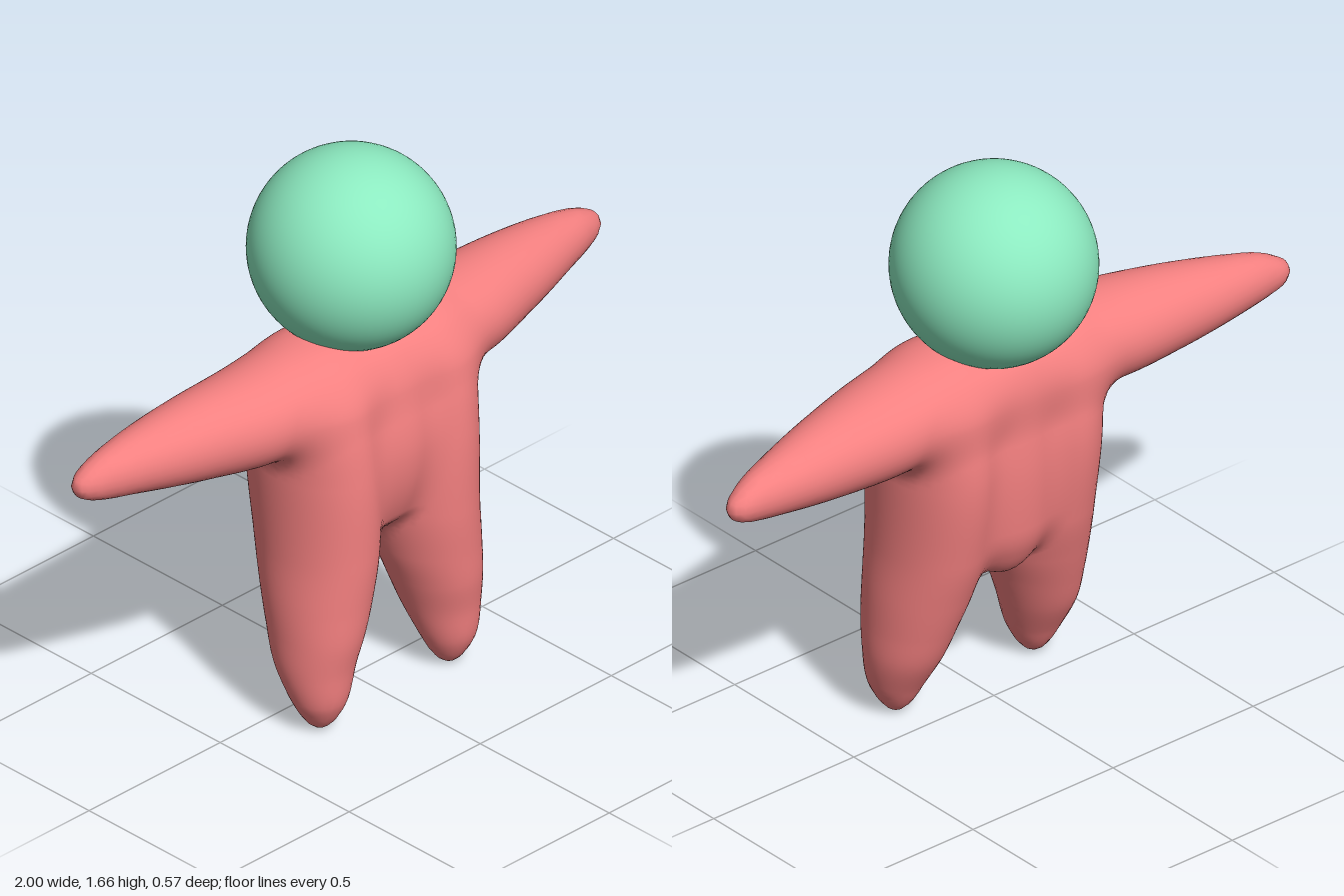
import * as THREE from 'three';

// Cross-sections along an axis: [position, centreA, radiusA, centreB, radiusB]
// Leg column, foot to shoulder (axis y, A = x, B = z)
const LEG = [
  [0, .245, 0, .125, 0], [.05, .245, .056, .125, .06], [.1, .245, .08, .122, .085],
  [.2, .238, .108, .1, .12], [.3, .223, .126, .09, .147], [.4, .207, .141, .077, .167],
  [.55, .19, .15, .06, .193], [.8, .188, .153, .042, .212], [1, .19, .15, .037, .188],
  [1.1, .17, .13, .03, .13], [1.17, .17, 0, .02, 0],
];
// Middle of the trunk, crotch to neck (axis y, A = x, B = z)
const TRUNK = [
  [.42, 0, 0, -.03, 0], [.5, 0, .12, -.015, .105], [.6, 0, .18, .02, .17],
  [.8, 0, .21, .04, .2], [1, 0, .21, .035, .175], [1.1, 0, .17, .02, .13], [1.17, 0, 0, 0, 0],
];
// Both arms, chest to hand (axis |x|, A = y, B = z)
const ARM = [
  [0, 1.03, .143, .02, .16], [.2, 1.03, .141, .02, .165], [.4, 1.01, .138, .01, .155],
  [.6, 1.01, .119, -.015, .125], [.8, 1.01, .088, -.04, .085], [.9, 1.007, .068, -.05, .06],
  [.96, 1.002, .046, -.057, .041], [1, 1, 0, -.06, 0],
];

// Smooth interpolation of one column; radii are blended as squares so ends are round
function sample(table, i, t, col, squared) {
  const v = (k) => (squared ? table[k][col] ** 2 : table[k][col]);
  const slope = (k) => {
    const a = Math.max(k - 1, 0), b = Math.min(k + 1, table.length - 1);
    return (v(b) - v(a)) / (table[b][0] - table[a][0]);
  };
  const h = table[i + 1][0] - table[i][0], u = t * t * (3 - 2 * t);
  return v(i) * (1 - u) + v(i + 1) * u
    + h * t * (1 - t) * ((1 - t) * slope(i) - t * slope(i + 1));
}

// Approximate signed distance to a limb with elliptical sections
function limb(table, s, a, b) {
  const last = table.length - 1;
  const p = Math.min(Math.max(s, table[0][0]), table[last][0]);
  let i = 0;
  while (i < last - 1 && p > table[i + 1][0]) i++;
  const t = (p - table[i][0]) / (table[i + 1][0] - table[i][0]);
  const radius = (col) => Math.sqrt(Math.max(sample(table, i, t, col, true), 2.5e-5));
  const ra = radius(2), rb = radius(4);
  const q = Math.hypot((a - sample(table, i, t, 1)) / ra, (b - sample(table, i, t, 3)) / rb);
  return (q - 1) * Math.min(ra, rb) + 2 * Math.abs(s - p);
}

function blend(a, b, k) {
  const h = Math.max(k - Math.abs(a - b), 0) / k;
  return Math.min(a, b) - h * h * k / 4;
}

// Legs melt into the trunk, then the arms melt into both
function bodyField(x, y, z) {
  const legs = blend(limb(LEG, y, x, z), limb(LEG, y, -x, z), .04);
  const trunk = blend(legs, limb(TRUNK, y, x, z), .05);
  return blend(trunk, limb(ARM, Math.abs(x), y, z), .07);
}

function gradient(f, p) {
  const e = .004, [x, y, z] = p;
  return [f(x + e, y, z) - f(x - e, y, z), f(x, y + e, z) - f(x, y - e, z),
    f(x, y, z + e) - f(x, y, z - e)].map((d) => d / (2 * e));
}

// Smooth quad mesh of the zero surface of a field, one vertex per crossed cell
function surfaceOf(f, min, size, step) {
  const n = size.map((s) => Math.ceil(s / step) + 1);
  const stride = [1, n[0], n[0] * n[1]];
  const at = (i, j, k) => i + j * stride[1] + k * stride[2];
  const values = new Float32Array(n[0] * n[1] * n[2]);
  const eachCell = (visit, end) => {
    for (let k = 0; k < n[2] - end; k++)
      for (let j = 0; j < n[1] - end; j++)
        for (let i = 0; i < n[0] - end; i++) visit([i, j, k], at(i, j, k));
  };
  eachCell((c, id) => {
    values[id] = f(...c.map((v, a) => min[a] + v * step));
  }, 0);

  const positions = [], normals = [], index = [], vertexOf = new Map();
  eachCell((c, id) => {
    const sum = [0, 0, 0];
    let count = 0;
    for (let corner = 0; corner < 8; corner++) {
      const o = [corner & 1, (corner >> 1) & 1, corner >> 2];
      const from = id + o[0] + o[1] * stride[1] + o[2] * stride[2];
      for (let a = 0; a < 3; a++) {
        if (o[a]) continue;
        const v0 = values[from], v1 = values[from + stride[a]];
        if ((v0 < 0) === (v1 < 0)) continue;
        for (let b = 0; b < 3; b++) sum[b] += o[b] + (a === b ? v0 / (v0 - v1) : 0);
        count++;
      }
    }
    if (!count) return;
    let p = sum.map((s, a) => min[a] + (c[a] + s / count) * step);
    // Pull the vertex onto the surface
    for (let pass = 0; pass < 2; pass++) {
      const g = gradient(f, p);
      const d = f(...p) / Math.max(g[0] ** 2 + g[1] ** 2 + g[2] ** 2, .3);
      const move = Math.max(-step / 3, Math.min(step / 3, d));
      p = p.map((v, a) => v - g[a] * move);
    }
    const g = new THREE.Vector3(...gradient(f, p)).normalize();
    vertexOf.set(id, positions.length / 3);
    positions.push(...p);
    normals.push(g.x, g.y, g.z);
  }, 1);

  // One quad around each crossed grid edge
  eachCell((c, id) => {
    for (let a = 0; a < 3; a++) {
      const inside = values[id] < 0;
      if (inside === (values[id + stride[a]] < 0)) continue;
      const u = stride[(a + 1) % 3], v = stride[(a + 2) % 3];
      const q = [id - u - v, id - v, id, id - u].map((key) => vertexOf.get(key));
      if (!inside) q.reverse();
      index.push(q[0], q[1], q[2], q[0], q[2], q[3]);
    }
  }, 1);

  const geometry = new THREE.BufferGeometry();
  geometry.setAttribute('position', new THREE.Float32BufferAttribute(positions, 3));
  geometry.setAttribute('normal', new THREE.Float32BufferAttribute(normals, 3));
  geometry.setIndex(index);
  return geometry;
}

export function createModel() {
  const model = new THREE.Group();
  model.name = 'figure';

  // Soft body with arms and legs
  const body = new THREE.Mesh(
    surfaceOf(bodyField, [-1.04, -.05, -.25], [2.08, 1.3, .58], .02),
    new THREE.MeshStandardMaterial({ color: 0xf48080 }),
  );
  body.name = 'body';

  // Round head
  const head = new THREE.Mesh(
    new THREE.SphereGeometry(.287, 64, 40),
    new THREE.MeshStandardMaterial({ color: 0x8ceac0 }),
  );
  head.name = 'head';
  head.position.set(0, 1.373, 0);

  model.add(body, head);
  return model;
}
